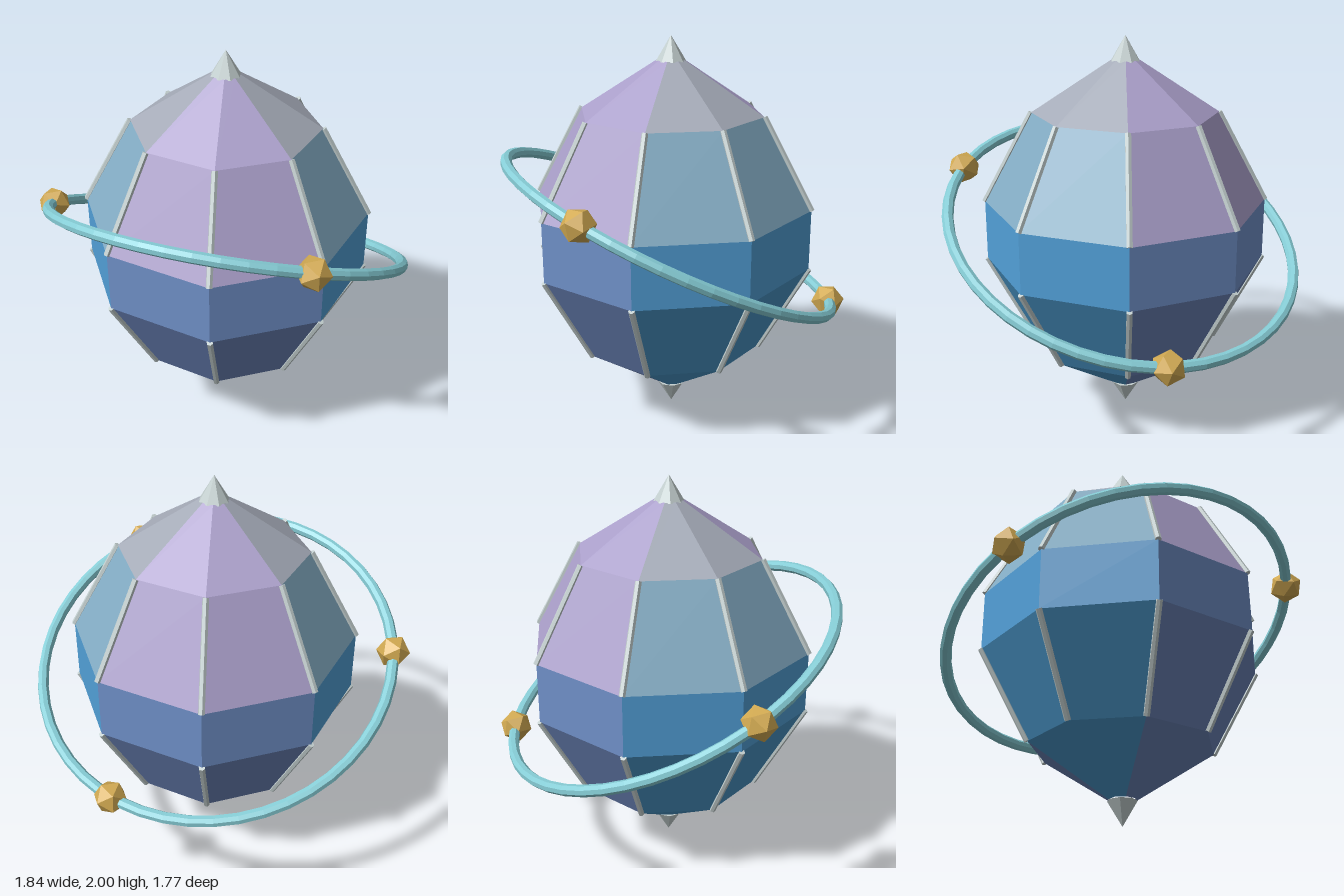
import * as THREE from 'three';

const mat = (name, color) => {
  const m = new THREE.MeshStandardMaterial({ color });
  m.name = name;
  return m;
};

// Faceted look: split the vertices so each face has its own normal
function flat(geometry) {
  const g = geometry.index ? geometry.toNonIndexed() : geometry;
  g.computeVertexNormals();
  return g;
}

function add(parent, name, geometry, material) {
  const mesh = new THREE.Mesh(flat(geometry), material);
  mesh.name = name;
  parent.add(mesh);
  return mesh;
}

export function createModel() {
  const model = new THREE.Group();
  model.name = 'ringedCrystal';

  const lilac = mat('lilac', 0xaa9fca);
  const grey = mat('warm grey', 0xa5abb8);
  const teal = mat('grey teal', 0x84adc5);
  const periwinkle = mat('periwinkle', 0x6f90c8);
  const blue = mat('blue', 0x52a0d8);
  const deepBlue = mat('deep blue', 0x4a97ca);
  const slate = mat('slate blue', 0x6a83b8);
  const silver = mat('silver', 0xc4d0d0);
  const gold = mat('gold', 0xd2aa52);
  const aqua = mat('aqua', 0x86cdd6);

  // Eight-sided body: each band is split into quadrants of alternating colour
  const bands = [
    ['lowerCap', 0.13, 0.07, 0.39, 0.47, slate, deepBlue],
    ['lowerBand', 0.39, 0.47, 0.85, 0.72, slate, deepBlue],
    ['middleBand', 0.85, 0.72, 1.16, 0.72, periwinkle, blue],
    ['upperBand', 1.16, 0.72, 1.62, 0.47, lilac, teal],
    ['upperCap', 1.62, 0.47, 1.88, 0.07, lilac, grey],
  ];
  const body = new THREE.Group();
  body.name = 'body';
  model.add(body);
  for (const [name, y0, r0, y1, r1, even, odd] of bands) {
    for (let q = 0; q < 4; q++) {
      const g = new THREE.CylinderGeometry(r1, r0, y1 - y0, 2, 1, true, q * Math.PI / 2, Math.PI / 2);
      add(body, name, g, q % 2 ? odd : even).position.y = (y0 + y1) / 2;
    }
  }

  // Pointed silver tips
  for (const top of [true, false]) {
    const tip = add(model, top ? 'topTip' : 'bottomTip', new THREE.ConeGeometry(0.075, 0.125, 8), silver);
    tip.position.y = top ? 1.9375 : 0.0625;
    tip.rotation.set(top ? 0 : Math.PI, Math.PI / 8, 0);
  }

  // Silver rods along the sloping edges
  const up = new THREE.Vector3(0, 1, 0);
  const rods = new THREE.Group();
  rods.name = 'edgeRods';
  model.add(rods);
  for (let i = 0; i < 8; i++) {
    const a = i * Math.PI / 4;
    const at = (r, y) => new THREE.Vector3(r * Math.sin(a), y, r * Math.cos(a));
    for (const [p, q] of [[at(0.72, 1.16), at(0.47, 1.62)], [at(0.47, 0.39), at(0.72, 0.85)]]) {
      const dir = q.clone().sub(p);
      const rod = add(rods, 'edgeRod', new THREE.CylinderGeometry(0.016, 0.016, dir.length(), 6), silver);
      rod.position.copy(p).add(q).multiplyScalar(0.5);
      rod.quaternion.setFromUnitVectors(up, dir.normalize());
    }
  }

  // Tilted ring carrying three gold beads
  const R = 0.915;
  const orbit = new THREE.Group();
  orbit.name = 'orbit';
  orbit.position.y = 1;
  orbit.rotation.set(-0.4, 0, 0.22);
  model.add(orbit);
  add(orbit, 'ring', new THREE.TorusGeometry(R, 0.029, 8, 48).rotateX(Math.PI / 2), aqua);
  for (let i = 0; i < 3; i++) {
    const a = 0.325 + i * Math.PI * 2 / 3;
    const bead = add(orbit, 'bead', new THREE.IcosahedronGeometry(0.085, 0), gold);
    bead.position.set(R * Math.cos(a), 0, R * Math.sin(a));
  }

  return model;
}
